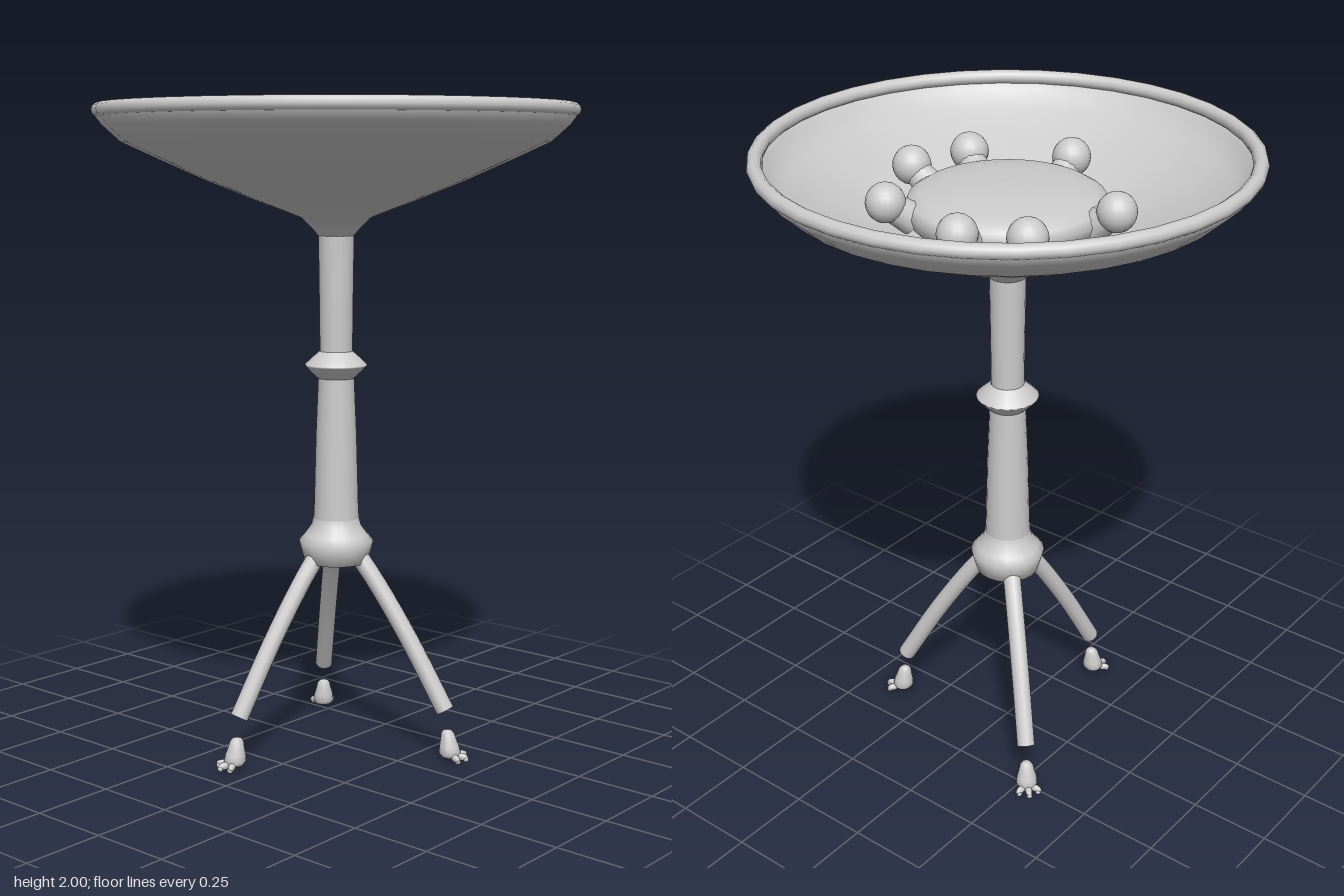
import * as THREE from 'three';

const material = new THREE.MeshStandardMaterial({ color: 0xcccccc });

function add(parent, name, geometry, x = 0, y = 0, z = 0) {
  const mesh = new THREE.Mesh(geometry, material);
  mesh.name = name;
  mesh.position.set(x, y, z);
  parent.add(mesh);
  return mesh;
}

function lathe(points, segments) {
  return new THREE.LatheGeometry(points.map(([r, y]) => new THREE.Vector2(r, y)), segments);
}

// Rod with different end radii, running between two points
function rod(parent, name, from, to, r0, r1) {
  const dir = to.clone().sub(from);
  const mesh = add(parent, name, new THREE.CylinderGeometry(r1, r0, dir.length(), 12));
  mesh.position.copy(from).add(to).multiplyScalar(0.5);
  mesh.quaternion.setFromUnitVectors(new THREE.Vector3(0, 1, 0), dir.normalize());
}

// Leg and clawed foot, built along +x
function makeLeg() {
  const leg = new THREE.Group();
  leg.name = 'leg';
  const path = new THREE.CatmullRomCurve3([
    new THREE.Vector3(0.06, 0.64, 0), new THREE.Vector3(0.135, 0.54, 0),
    new THREE.Vector3(0.245, 0.37, 0), new THREE.Vector3(0.366, 0.157, 0),
  ]);
  add(leg, 'legRod', new THREE.TubeGeometry(path, 12, 0.028, 12));
  // Flat caps on the rod ends
  for (const t of [0, 1]) {
    const cap = add(leg, 'legCap', new THREE.CircleGeometry(0.028, 12));
    cap.position.copy(path.getPoint(t));
    const out = path.getTangent(t).multiplyScalar(t ? 1 : -1);
    cap.quaternion.setFromUnitVectors(new THREE.Vector3(0, 0, 1), out);
  }

  const foot = new THREE.Group();
  foot.name = 'foot';
  foot.position.x = 0.386;
  leg.add(foot);
  // Ankle leans back toward the leg as it rises
  const ankle = lathe([[0, 0.008], [0.026, 0.012], [0.034, 0.024], [0.031, 0.045],
    [0.025, 0.065], [0.021, 0.084], [0.013, 0.094], [0, 0.096]], 14);
  const p = ankle.attributes.position;
  for (let i = 0; i < p.count; i++) p.setX(i, p.getX(i) - 0.12 * p.getY(i));
  ankle.computeVertexNormals();
  add(foot, 'ankle', ankle);
  for (const a of [-0.8, 0, 0.8]) {
    const toe = add(foot, 'toe', new THREE.SphereGeometry(1, 12, 8),
      0.034 * Math.cos(a), 0.015, 0.032 * Math.sin(a));
    toe.scale.set(0.023, 0.012, 0.011);
    toe.rotation.y = -a;
    add(foot, 'claw', new THREE.SphereGeometry(0.009, 10, 8),
      0.050 * Math.cos(a), 0.009, 0.042 * Math.sin(a));
  }
  return leg;
}

export function createModel() {
  const model = new THREE.Group();
  model.name = 'footedBowlStand';

  // Shallow thin-walled bowl
  add(model, 'bowl', lathe([
    [0.05, 1.60], [0.075, 1.63], [0.108, 1.66], [0.24, 1.71], [0.39, 1.77], [0.53, 1.832],
    [0.645, 1.885], [0.70, 1.935], [0.728, 1.972], [0.71, 1.985], [0.688, 1.945],
    [0.635, 1.897], [0.525, 1.845], [0.385, 1.783], [0.235, 1.723], [0.10, 1.675], [0, 1.665],
  ], 36));
  // Rounded lip
  const lip = add(model, 'lip', new THREE.TorusGeometry(0.708, 0.022, 10, 36), 0, 1.978, 0);
  lip.rotation.x = Math.PI / 2;

  // Column with a collar ring and a flared hub
  add(model, 'upperColumn', lathe([[0.05, 1.2], [0.052, 1.4], [0.055, 1.62]], 20));
  add(model, 'lowerColumn', lathe([[0.074, 0.68], [0.069, 0.78], [0.063, 1.0], [0.054, 1.21]], 20));
  add(model, 'collar', lathe([[0.053, 1.168], [0.074, 1.187], [0.094, 1.208], [0.096, 1.213],
    [0.074, 1.234], [0.051, 1.254]], 20));
  add(model, 'hub', lathe([[0, 0.592], [0.08, 0.592], [0.098, 0.596], [0.108, 0.63],
    [0.116, 0.662], [0.098, 0.682], [0.078, 0.71], [0.071, 0.735]], 20));

  // Three splayed legs, evenly spaced
  for (let i = 0; i < 3; i++) {
    const leg = makeLeg();
    leg.rotation.y = 0.3 + i * Math.PI * 2 / 3;
    model.add(leg);
  }

  // Low flat-topped mound resting in the bowl
  add(model, 'mound', lathe([[0, 1.70], [0.17, 1.72], [0.25, 1.755], [0.285, 1.79],
    [0.296, 1.825], [0.285, 1.85], [0.255, 1.868], [0.19, 1.882], [0.1, 1.89], [0, 1.893]], 40));

  // Knobs on short stalks around the mound
  const knobs = [[-0.095, -0.34], [0.21, -0.285], [-0.26, -0.245], [0.35, -0.01],
    [0.29, 0.185], [0.02, 0.335], [-0.34, 0.055]];
  for (const [x, z] of knobs) {
    const base = new THREE.Vector3(x * 0.78, 1.81, z * 0.78);
    rod(model, 'stalk', base, new THREE.Vector3(x, 1.865, z), 0.048, 0.04);
    add(model, 'knob', new THREE.SphereGeometry(0.058, 18, 12), x, 1.868, z);
  }
  return model;
}
